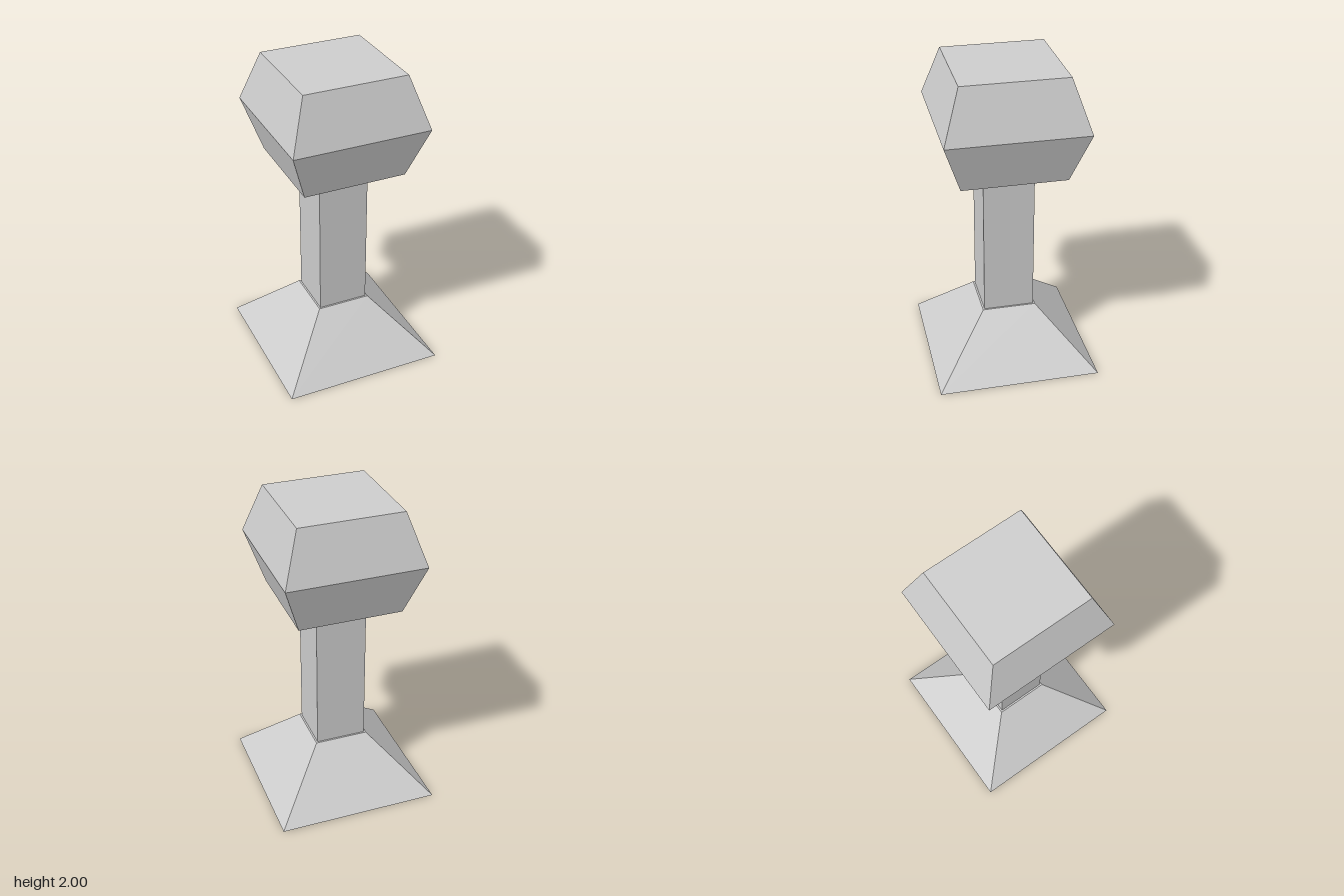
import * as THREE from 'three';

export function createModel() {
  const group = new THREE.Group();
  const grey = new THREE.MeshStandardMaterial({ color: 0xcccccc, flatShading: true });
  grey.name = 'light grey';

  // Square frustum between two heights, given by its half widths
  function frustum(name, bottomHalf, topHalf, y0, y1, openTop = false) {
    const geo = new THREE.CylinderGeometry(topHalf * Math.SQRT2, bottomHalf * Math.SQRT2, y1 - y0, 4, 1, openTop);
    geo.rotateY(Math.PI / 4);
    geo.translate(0, (y0 + y1) / 2, 0);
    const mesh = new THREE.Mesh(geo, grey);
    mesh.name = name;
    return mesh;
  }

  // Sloped foot and square post
  group.add(frustum('base', 0.518, 0.173, 0, 0.367));
  const post = new THREE.Mesh(new THREE.BoxGeometry(0.324, 0.977, 0.324), grey);
  post.name = 'post';
  post.position.y = 0.367 + 0.977 / 2;
  group.add(post);

  // Bevelled head: two frustums meeting at the widest line, each closed only on its outer end
  const head = new THREE.Group();
  head.name = 'head';
  const lower = frustum('headLower', 0.33, 0.439, 1.344, 1.672, true);
  const upper = frustum('headUpper', 0.439, 0.33, 1.672, 2, true);
  head.add(lower, upper);
  for (const [name, y, turn] of [['headTop', 2, -1], ['headUnderside', 1.344, 1]]) {
    const cap = new THREE.Mesh(new THREE.PlaneGeometry(0.66, 0.66).rotateX(turn * Math.PI / 2), grey);
    cap.name = name;
    cap.position.y = y;
    head.add(cap);
  }
  group.add(head);
  return group;
}
